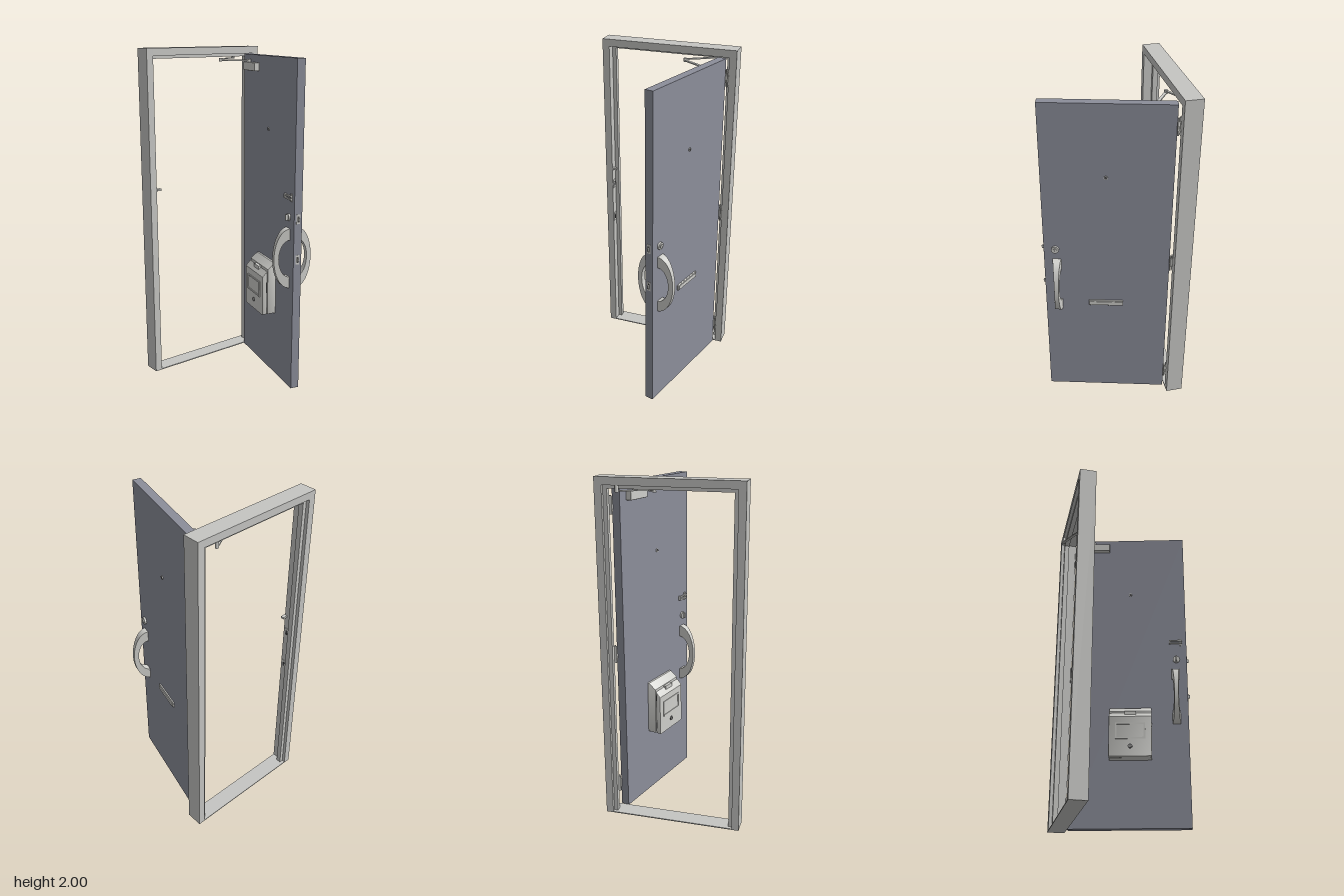
import * as THREE from 'three';
import { toCreasedNormals } from 'three/addons/utils/BufferGeometryUtils.js';
import { RoundedBoxGeometry } from 'three/addons/geometries/RoundedBoxGeometry.js';

const mat = (name, color) => {
  const m = new THREE.MeshStandardMaterial({ color });
  m.name = name;
  return m;
};

export function createModel() {
  const frameGrey = mat('frame grey', 0xc5c5c2);
  const doorGrey = mat('door blue grey', 0x8c8e9a);
  const metal = mat('light metal', 0xcfcfcb);
  const dark = mat('dark detail', 0x4a4a4c);

  const model = new THREE.Group();
  model.name = 'doorAndFrame';

  const add = (parent, name, geometry, material) => {
    const mesh = new THREE.Mesh(geometry, material);
    mesh.name = name;
    parent.add(mesh);
    return mesh;
  };
  // Box given by its minimum and maximum corners
  const box = (parent, name, material, x0, x1, y0, y1, z0, z1) => {
    const mesh = add(parent, name, new THREE.BoxGeometry(x1 - x0, y1 - y0, z1 - z0), material);
    mesh.position.set((x0 + x1) / 2, (y0 + y1) / 2, (z0 + z1) / 2);
    return mesh;
  };
  const rounded = (parent, name, material, x0, x1, y0, y1, z0, z1, r) => {
    const mesh = add(parent, name, new RoundedBoxGeometry(x1 - x0, y1 - y0, z1 - z0, 2, r), material);
    mesh.position.set((x0 + x1) / 2, (y0 + y1) / 2, (z0 + z1) / 2);
    return mesh;
  };
  // Cylinder along the z axis
  const disc = (parent, name, material, r, x, y, z0, z1, sides = 20) => {
    const mesh = add(parent, name, new THREE.CylinderGeometry(r, r, z1 - z0, sides).rotateX(Math.PI / 2), material);
    mesh.position.set(x, y, (z0 + z1) / 2);
    return mesh;
  };
  // Side profile [depth, y] extruded across the local x axis, centred
  const profile = (points, width, bevel) => {
    const shape = new THREE.Shape(points.map(([d, y]) => new THREE.Vector2(d, y)));
    const g = new THREE.ExtrudeGeometry(shape, {
      depth: width - 2 * bevel, bevelEnabled: bevel > 0, bevelSize: bevel,
      bevelThickness: bevel, bevelOffset: -bevel, bevelSegments: 2,
    });
    g.translate(0, 0, -(width - 2 * bevel) / 2).rotateY(-Math.PI / 2);
    return g;
  };

  // Frame: jambs, head and sill, with a raised stop inside
  const frame = new THREE.Group();
  frame.name = 'frame';
  model.add(frame);
  const back = -0.405, front = -0.305;
  for (const s of [-1, 1]) {
    const span = (a, b) => (s > 0 ? [a, b] : [-b, -a]);
    box(frame, 'jamb', frameGrey, ...span(0.365, 0.407), 0, 2, back, front);
    box(frame, 'jambStop', frameGrey, ...span(0.342, 0.365), 0, 1.957, -0.385, -0.355);
  }
  box(frame, 'head', frameGrey, -0.365, 0.365, 1.957, 2, back, front);
  box(frame, 'headStop', frameGrey, -0.342, 0.342, 1.938, 1.957, -0.385, -0.355);
  box(frame, 'sill', frameGrey, -0.365, 0.365, 0, 0.006, back, front);

  // Strike plates on the lock side
  for (const y of [1.06, 0.82]) {
    box(frame, 'strikePlate', metal, -0.365, -0.361, y - 0.028, y + 0.028, -0.345, -0.312);
    box(frame, 'strikeHole', dark, -0.361, -0.3595, y - 0.014, y + 0.014, -0.334, -0.322);
  }
  box(frame, 'guardCatch', metal, -0.365, -0.335, 1.166, 1.178, -0.32, -0.3);

  // Hinges
  for (const y of [1.84, 0.985, 0.147]) {
    box(frame, 'hingeLeaf', metal, 0.346, 0.366, y - 0.05, y + 0.05, -0.31, -0.304);
    box(frame, 'hingeDoorLeaf', metal, 0.346, 0.36, y - 0.025, y + 0.025, -0.304, -0.29);
    const pin = add(frame, 'hingePin', new THREE.CylinderGeometry(0.005, 0.005, 0.1, 12), metal);
    pin.position.set(0.36, y, -0.293);
  }

  // Open door: local x runs toward the hinge, local z points outside
  const door = new THREE.Group();
  door.name = 'door';
  door.position.set(0.35, 0, -0.292);
  door.rotation.y = THREE.MathUtils.degToRad(75);
  model.add(door);
  box(door, 'doorLeaf', doorGrey, -0.718, 0, 0.002, 1.955, -0.05, 0);

  // Crescent pull handles, wide at the door and narrow at the tip
  const crescent = [];
  const N = 28;
  for (let i = 0; i <= N; i++) {
    const a = (i / N) * Math.PI;
    crescent.push([0.095 * Math.sin(a), -0.18 * Math.cos(a)]);
  }
  for (let i = N; i >= 0; i--) {
    const a = (i / N) * Math.PI;
    crescent.push([0.066 * Math.sin(a), -0.112 * Math.cos(a)]);
  }
  let handleGeo = profile(crescent, 0.05, 0);
  const p = handleGeo.attributes.position;
  for (let i = 0; i < p.count; i++) p.setX(i, p.getX(i) * (1 - 5.6 * p.getZ(i)));
  handleGeo = toCreasedNormals(handleGeo, 0.5);
  for (const side of [1, -1]) {
    const handle = add(door, side > 0 ? 'outerHandle' : 'innerHandle', handleGeo, metal);
    handle.position.set(-0.645, 0.81, side > 0 ? 0 : -0.05);
    if (side < 0) handle.rotation.y = Math.PI;
  }

  // Lock cylinder, thumb turn and peephole
  disc(door, 'lockRose', metal, 0.022, -0.652, 1.057, 0, 0.012);
  disc(door, 'lockCylinder', metal, 0.012, -0.652, 1.057, 0.012, 0.018);
  box(door, 'keyhole', dark, -0.6535, -0.6505, 1.05, 1.064, 0.018, 0.019);
  disc(door, 'thumbTurnRose', metal, 0.022, -0.652, 1.057, -0.06, -0.05);
  box(door, 'thumbTurn', metal, -0.656, -0.648, 1.04, 1.074, -0.075, -0.06);
  disc(door, 'peepholeRim', metal, 0.011, -0.364, 1.53, -0.054, 0.004);
  disc(door, 'peepholeLens', dark, 0.008, -0.364, 1.53, -0.055, 0.005);

  // Edge plates with bolts
  for (const y of [1.057, 0.815]) {
    box(door, 'boltPlate', metal, -0.72, -0.717, y - 0.028, y + 0.028, -0.037, -0.013);
    box(door, 'boltRecess', dark, -0.721, -0.72, y - 0.018, y + 0.018, -0.031, -0.019);
    box(door, 'bolt', metal, -0.731, -0.72, y - 0.01, y + 0.01, -0.029, -0.021);
  }

  // Swing guard on the inside
  box(door, 'guardPlate', metal, -0.69, -0.675, 1.155, 1.2, -0.056, -0.05);
  for (const y of [1.168, 1.186]) {
    box(door, 'guardBar', metal, -0.69, -0.61, y - 0.004, y + 0.004, -0.066, -0.056);
  }
  box(door, 'guardEnd', metal, -0.618, -0.61, 1.164, 1.19, -0.066, -0.05);

  // Outside letter flap
  rounded(door, 'letterSurround', metal, -0.463, -0.26, 0.66, 0.697, -0.002, 0.009, 0.004);
  box(door, 'letterFlap', metal, -0.455, -0.268, 0.666, 0.69, 0.009, 0.013);

  // Inside letter box with sloped top and separate front lid
  const letterBox = new THREE.Group();
  letterBox.name = 'letterBox';
  letterBox.position.set(-0.364, 0, -0.05);
  letterBox.rotation.y = Math.PI;
  door.add(letterBox);
  const creased = (pts, w, b) => toCreasedNormals(profile(pts, w, b), 0.6);
  add(letterBox, 'boxBody', creased([[0, 0.405], [0.056, 0.405], [0.056, 0.695], [0.012, 0.73], [0, 0.73]], 0.257, 0.005), metal);
  add(letterBox, 'boxLid', creased([[0.06, 0.405], [0.09, 0.405], [0.09, 0.65], [0.06, 0.682]], 0.257, 0.006), metal);
  box(letterBox, 'lidSeam', dark, -0.12, 0.12, 0.415, 0.67, 0.05, 0.065);
  box(letterBox, 'lidPull', metal, -0.035, 0.035, 0.66, 0.69, 0.054, 0.074);
  const ring = new THREE.Shape([[-0.09, -0.05], [0.09, -0.05], [0.09, 0.05], [-0.09, 0.05]].map(a => new THREE.Vector2(...a)));
  ring.holes.push(new THREE.Path([[-0.08, -0.04], [-0.08, 0.04], [0.08, 0.04], [0.08, -0.04]].map(a => new THREE.Vector2(...a))));
  add(letterBox, 'windowFrame', new THREE.ExtrudeGeometry(ring, { depth: 0.004, bevelEnabled: false }), metal)
    .position.set(0, 0.56, 0.09);
  disc(letterBox, 'boxLock', dark, 0.014, 0, 0.465, 0.09, 0.093);
  disc(letterBox, 'boxLockCore', metal, 0.009, 0, 0.465, 0.093, 0.096);
  box(letterBox, 'boxKeyhole', dark, -0.0015, 0.0015, 0.459, 0.471, 0.096, 0.097);

  // Door closer: body on the door, two arms up to the frame
  rounded(door, 'closerBody', metal, -0.225, -0.057, 1.86, 1.91, -0.084, -0.05, 0.004);
  const closer = new THREE.Group();
  closer.name = 'closerArms';
  model.add(closer);
  const pivot = (x, z, r, y0, y1) => {
    add(closer, 'closerPivot', new THREE.CylinderGeometry(r, r, y1 - y0, 20), metal)
      .position.set(x, (y0 + y1) / 2, z);
  };
  const arm = (x0, z0, x1, z1, y, w) => {
    const mesh = add(closer, 'closerArm', new THREE.BoxGeometry(Math.hypot(x1 - x0, z1 - z0), 0.007, w), metal);
    mesh.position.set((x0 + x1) / 2, y, (z0 + z1) / 2);
    mesh.rotation.y = -Math.atan2(z1 - z0, x1 - x0);
  };
  arm(0.25, -0.2, 0.108, -0.298, 1.92, 0.016);
  arm(0.108, -0.298, 0.282, -0.399, 1.928, 0.014);
  pivot(0.25, -0.2, 0.014, 1.9, 1.926);
  pivot(0.108, -0.298, 0.01, 1.914, 1.934);
  pivot(0.282, -0.399, 0.01, 1.922, 1.957);

  return model;
}
